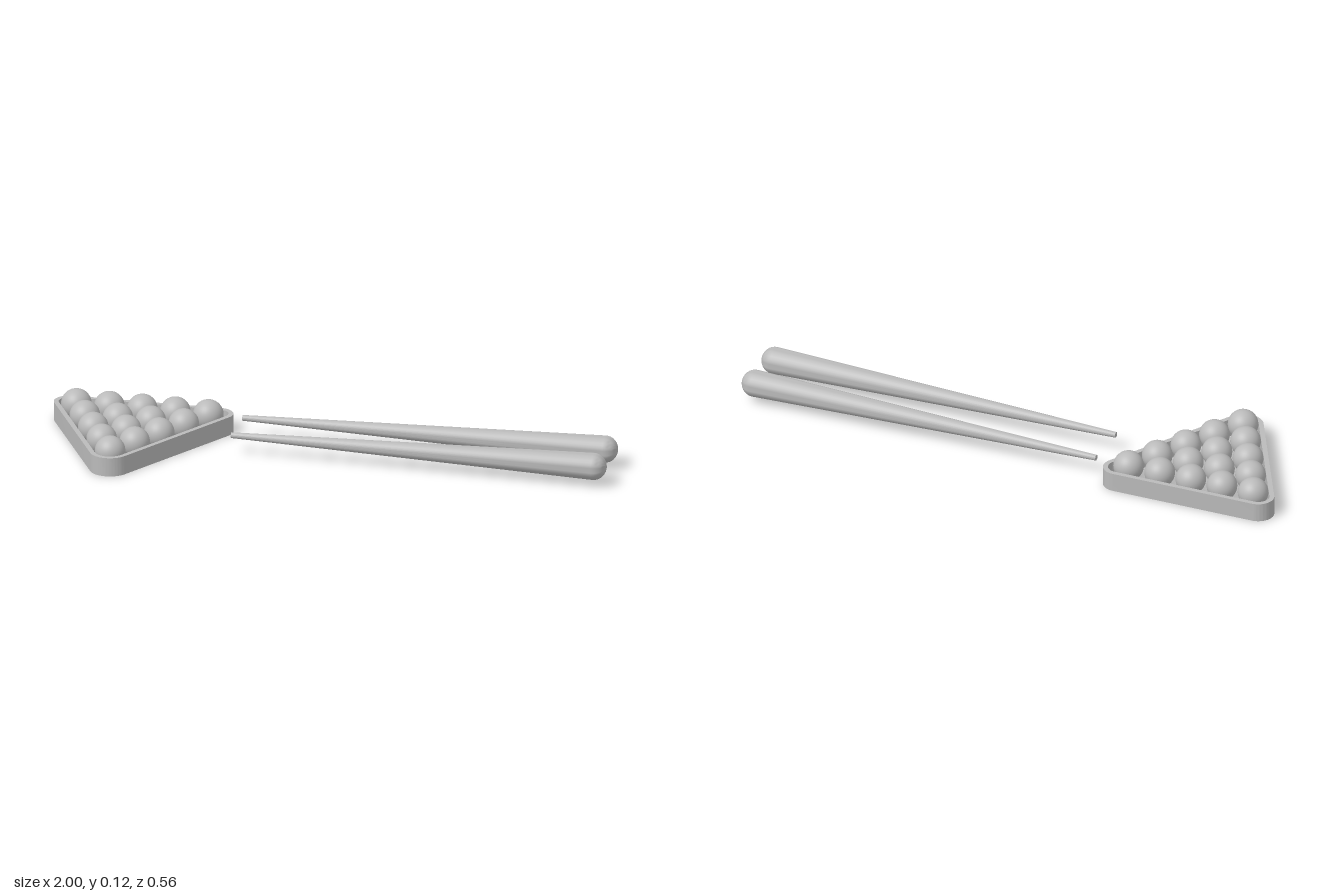
import * as THREE from 'three';
import { toCreasedNormals } from 'three/addons/utils/BufferGeometryUtils.js';

const grey = new THREE.MeshStandardMaterial({ color: 0xbababa });
grey.name = 'plain grey';

const BALL_RADIUS = 0.053;
const AXIS_Y = 0.068;

// Rack corners as circles [x, -z, radius], counter-clockwise
const corners = [[-0.945, 0.227, 0.055], [-0.7, -0.212, 0.07], [-0.423, 0.227, 0.055]];

// Traces the rounded triangle around the corner circles, inset by a wall thickness
function roundedTriangle(path, inset) {
  const normals = corners.map(([x, y, r], i) => {
    const [nx, ny, nr] = corners[(i + 1) % 3];
    return Math.atan2(ny - y, nx - x) - Math.acos((r - nr) / Math.hypot(nx - x, ny - y));
  });
  corners.forEach(([x, y, r], i) => {
    path.absarc(x, y, r - inset, normals[(i + 2) % 3], normals[i], false);
  });
  path.closePath();
  return path;
}

function createRack() {
  const shape = roundedTriangle(new THREE.Shape(), 0);
  shape.holes.push(roundedTriangle(new THREE.Path(), 0.017));
  const geometry = new THREE.ExtrudeGeometry(shape, { depth: 0.067, bevelEnabled: false, curveSegments: 14 });
  geometry.rotateX(-Math.PI / 2);
  const rack = new THREE.Mesh(toCreasedNormals(geometry, 0.6), grey);
  rack.name = 'rack';
  return rack;
}

// Five rows of balls, narrowing toward the front
function createBalls() {
  const balls = new THREE.Group();
  balls.name = 'balls';
  const geometry = new THREE.SphereGeometry(BALL_RADIUS, 32, 20);
  for (let row = 0; row < 5; row++) {
    const count = 5 - row;
    const middle = -0.684 - row * 0.004;
    for (let i = 0; i < count; i++) {
      const ball = new THREE.Mesh(geometry, grey);
      ball.name = 'ball';
      ball.position.set(middle + (i - (count - 1) / 2) * 0.1165, AXIS_Y, -0.208 + row * 0.1045);
      balls.add(ball);
    }
  }
  return balls;
}

// Tapered cue with a flat tip and a rounded butt
function createCue(name, tipZ) {
  const length = 1.328, butt = 0.047, cap = 0.045;
  const profile = [new THREE.Vector2(0, 0), new THREE.Vector2(0.01, 0)];
  for (let i = 0; i <= 8; i++) {
    const a = (i / 8) * Math.PI / 2;
    profile.push(new THREE.Vector2(i === 8 ? 0 : butt * Math.cos(a), length - cap + cap * Math.sin(a)));
  }
  const geometry = new THREE.LatheGeometry(profile, 32);
  geometry.rotateZ(-Math.PI / 2);
  const cue = new THREE.Mesh(toCreasedNormals(geometry, 0.6), grey);
  cue.name = name;
  cue.position.set(-0.328, AXIS_Y, tipZ);
  cue.rotation.y = -0.0075;
  return cue;
}

export function createModel() {
  const model = new THREE.Group();
  model.name = 'billiardSet';
  model.add(createRack(), createBalls(), createCue('backCue', -0.203), createCue('frontCue', -0.031));
  return model;
}
